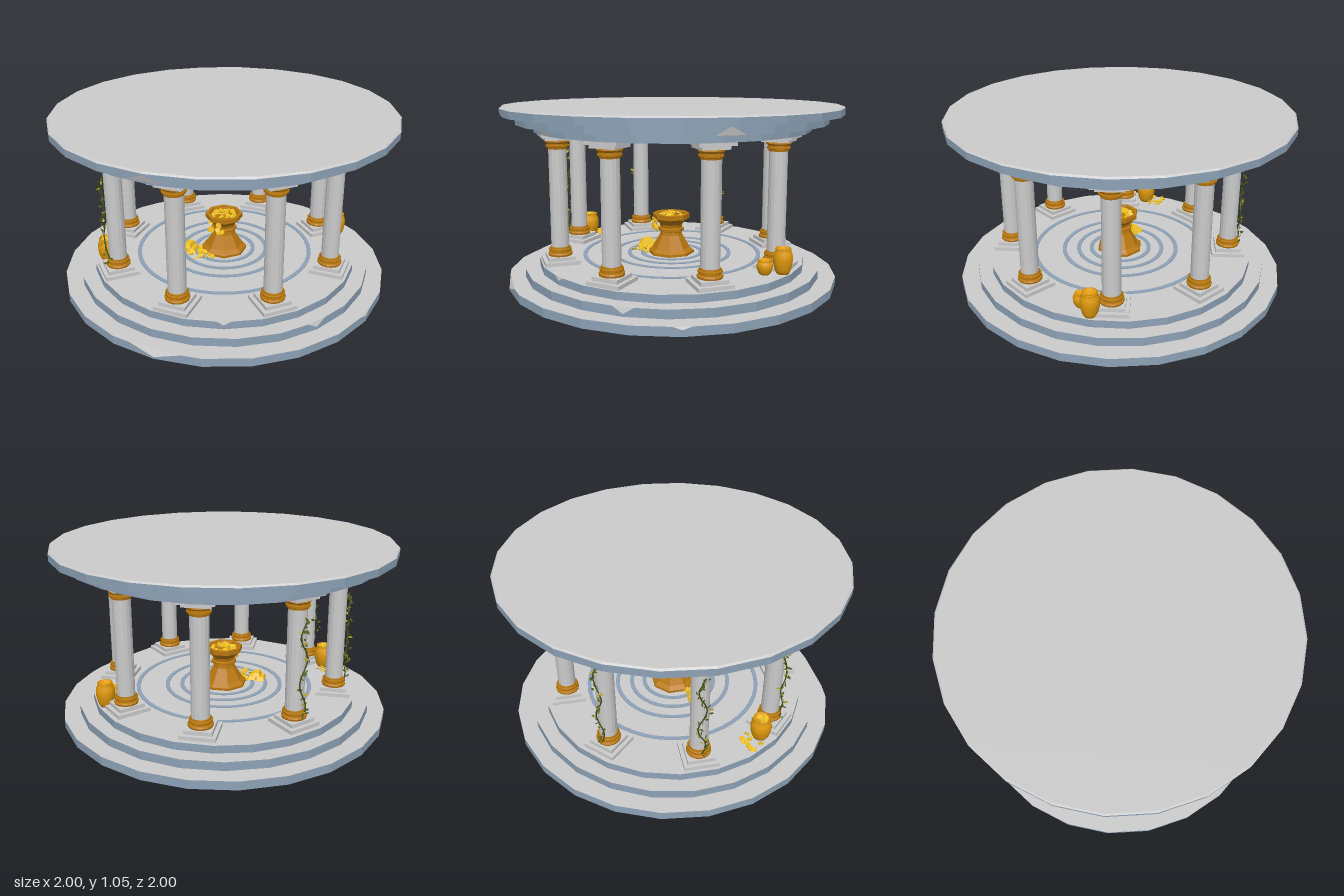
import * as THREE from 'three';
import { mergeGeometries } from 'three/addons/utils/BufferGeometryUtils.js';
import { ConvexGeometry } from 'three/addons/geometries/ConvexGeometry.js';

const mat = (color, flatShading = true, side = THREE.FrontSide) =>
  new THREE.MeshStandardMaterial({ color, flatShading, side });
const STONE = mat(0xcccccc), SLATE = mat(0x8da2b6), GOLD = mat(0xb9780f), POT = mat(0xe09a0c, false, THREE.DoubleSide);
const COIN = mat(0xf0c020), STEM = mat(0x3c4a1c), LEAF = mat(0x55661c, true, THREE.DoubleSide), BUD = mat(0xb8a820, true, THREE.DoubleSide);
const FLOOR = 0.145, SIDES = 24;

let seed = 7;
const rand = (a, b) => {
  seed = (seed * 16807) % 2147483647;
  return a + (b - a) * seed / 2147483647;
};

function add(parent, name, geometry, material, x = 0, y = 0, z = 0) {
  const mesh = new THREE.Mesh(geometry, material);
  mesh.name = name;
  mesh.position.set(x, y, z);
  parent.add(mesh);
  return mesh;
}

const lathe = (profile, sides) => new THREE.LatheGeometry(profile.map(p => new THREE.Vector2(...p)), sides);

// Round stone step: slate sides, pale faces, with optional broken corners.
// chips: { index, width, depth, up } where up breaks the upper edge.
function tier(parent, name, r, y0, y1, { bevel = 0, turn = 0, chips = [], slateBelow = false } = {}) {
  const corner = (i, y, rad = r) => {
    const a = i * 2 * Math.PI / SIDES + turn;
    return new THREE.Vector3(Math.sin(a) * rad, y, Math.cos(a) * rad);
  };
  const pts = [];
  for (let i = 0; i < SIDES; i++) {
    for (const up of [false, true]) {
      const y = up ? y1 - bevel : y0, chip = chips.find(c => c.index === i && c.up === up);
      if (!chip) { pts.push(corner(i, y)); continue; }
      const t = chip.width / (r * 2 * Math.sin(Math.PI / SIDES));
      pts.push(corner(i, y).lerp(corner(i + 1, y), t), corner(i, y).lerp(corner(i - 1, y), t));
      pts.push(corner(i, up ? y - chip.depth : y + chip.depth));
    }
    if (bevel) pts.push(corner(i, y1, r - bevel));
  }
  // sort the hull's faces into slate sides and pale faces
  const hull = new ConvexGeometry(pts), p = hull.attributes.position, n = hull.attributes.normal;
  const sides = [], faces = [];
  for (let i = 0; i < p.count; i += 3) {
    const ny = n.getY(i), pale = ny > 0.2 || (ny < -0.2 && !slateBelow);
    for (let k = i; k < i + 3; k++) (pale ? faces : sides).push(p.getX(k), p.getY(k), p.getZ(k));
  }
  for (const [label, list, material] of [['Sides', sides, SLATE], ['Faces', faces, STONE]]) {
    const g = new THREE.BufferGeometry();
    g.setAttribute('position', new THREE.Float32BufferAttribute(list, 3));
    g.computeVertexNormals();
    add(parent, name + label, g, material);
  }
}

// Column in its own frame: +z faces away from the centre.
function column() {
  const g = new THREE.Group();
  const slab = (name, w, h, y) => add(g, name, new THREE.BoxGeometry(w, h, w), STONE, 0, y + h / 2, 0);
  slab('plinth', 0.2, 0.022, FLOOR);
  slab('plinthStep', 0.155, 0.022, FLOOR + 0.022);
  slab('capitalStep', 0.155, 0.022, 0.863);
  slab('capital', 0.2, 0.022, 0.883);
  add(g, 'shaft', new THREE.CylinderGeometry(0.052, 0.052, 0.68, 16), STONE, 0, 0.525, 0);
  const collar = [[0.05, 0], [0.068, 0], [0.071, 0.012], [0.066, 0.02], [0.06, 0.022], [0.06, 0.03],
    [0.066, 0.032], [0.066, 0.042], [0.058, 0.045], [0.056, 0.055], [0.05, 0.055]];
  add(g, 'lowerCollar', lathe(collar, 16), GOLD, 0, 0.187, 0);
  add(g, 'upperCollar', lathe(collar, 16), GOLD, 0, 0.865, 0).rotation.x = Math.PI;
  return g;
}

function leafGeometry(x, y, z, size) {
  const s = new THREE.Shape();
  s.moveTo(0, 0);
  s.quadraticCurveTo(0.5, 0.4, 0, 1);
  s.quadraticCurveTo(-0.5, 0.4, 0, 0);
  const g = new THREE.ShapeGeometry(s, 3);
  g.scale(size, size, size);
  g.rotateX(rand(-0.8, 0.8));
  g.rotateZ(rand(0, 6.28));
  g.rotateY(rand(-1.3, 1.3));
  return g.translate(x, y, z);
}

// Vine climbing the outer side of a column
function vine(parent, y0, y1) {
  const pts = [];
  for (let i = 0; i <= 12; i++) {
    const a = Math.sin(i * 1.1) * 0.4;
    pts.push(new THREE.Vector3(Math.sin(a) * 0.06, y0 + (y1 - y0) * i / 12, Math.cos(a) * 0.06 + rand(0, 0.012)));
  }
  const path = new THREE.CatmullRomCurve3(pts);
  add(parent, 'vineStem', new THREE.TubeGeometry(path, 40, 0.004, 5), STEM);
  const leaves = [[], []];
  for (let i = 0; i < 46; i++) {
    const p = path.getPoint(i / 45);
    leaves[i % 4 === 3 ? 1 : 0].push(leafGeometry(p.x + rand(-0.012, 0.012), p.y, p.z + rand(0, 0.012), rand(0.02, 0.034)));
  }
  add(parent, 'vineLeaves', mergeGeometries(leaves[0]), LEAF);
  add(parent, 'vineBuds', mergeGeometries(leaves[1]), BUD);
}

// Loose coins scattered in a disc, heaped towards the middle
function coins(parent, name, count, x, y, z, radius, heap) {
  const list = [];
  for (let i = 0; i < count; i++) {
    const a = rand(0, 6.28), d = Math.sqrt(rand(0, 1));
    const g = new THREE.CylinderGeometry(0.016, 0.016, 0.006, 8);
    g.rotateX(rand(-0.6, 0.6));
    g.rotateZ(rand(-0.6, 0.6));
    list.push(g.translate(Math.cos(a) * d * radius, 0.007 + heap * (1 - d), Math.sin(a) * d * radius));
  }
  add(parent, name, mergeGeometries(list), COIN, x, y, z);
}

function pot(parent, x, z, r, h) {
  const profile = [[0, 0], [0.62, 0], [0.8, 0.14], [0.96, 0.4], [1, 0.62], [0.92, 0.8], [0.76, 0.92],
    [0.82, 0.97], [0.8, 1], [0.68, 1], [0.66, 0.9], [0, 0.86]];
  add(parent, 'pot', lathe(profile.map(([a, b]) => [a * r, b * h]), 16), POT, x, FLOOR, z);
}

export function createModel() {
  const model = new THREE.Group();
  model.name = 'roundPavilion';

  // stepped base
  tier(model, 'baseLower', 0.985, 0, 0.05, { slateBelow: true, chips: [
    { index: 0, width: 0.15, depth: 0.04, up: true }, { index: 5, width: 0.05, depth: 0.015, up: true }] });
  tier(model, 'baseMiddle', 0.885, 0.05, 0.1, { turn: -0.07, chips: [{ index: 4, width: 0.06, depth: 0.035, up: true }] });
  tier(model, 'baseUpper', 0.8, 0.1, FLOOR, { turn: 0.115, chips: [{ index: 1, width: 0.04, depth: 0.022, up: true }] });

  // concentric floor bands
  for (const r of [0.18, 0.26, 0.35, 0.53]) {
    add(model, 'floorBand', lathe([[r - 0.012, 0], [r - 0.012, 0.004], [r + 0.012, 0.004], [r + 0.012, 0]].reverse()
      .sort((a, b) => b[0] - a[0] || (b[0] > r ? a[1] - b[1] : b[1] - a[1])), 48), SLATE, 0, FLOOR, 0);
  }

  // stepped roof
  tier(model, 'roofLower', 0.815, 0.905, 0.95, { chips: [{ index: 1, width: 0.08, depth: 0.03, up: false }] });
  tier(model, 'roofMiddle', 0.915, 0.95, 1, { chips: [{ index: 6, width: 0.08, depth: 0.045, up: false }] });
  tier(model, 'roofUpper', 1, 1, 1.05, { bevel: 0.009, chips: [{ index: 0, width: 0.1, depth: 0.033, up: false }] });

  // ring of eight columns, three of them overgrown
  const vines = { 5: [0.2, 0.76], 6: [0.22, 0.76], 7: [0.2, 0.76] };
  for (let i = 0; i < 8; i++) {
    const pivot = new THREE.Group(), col = column();
    pivot.name = 'columnPivot';
    col.name = 'column';
    pivot.rotation.y = i * Math.PI / 4;
    pivot.position.z = 0.01;
    col.position.z = 0.675;
    if (vines[i]) vine(col, ...vines[i]);
    pivot.add(col);
    model.add(pivot);
  }

  // eight-sided central treasure bowl
  const bowl = [[0, 0], [0.14, 0], [0.14, 0.015], [0.115, 0.035], [0.068, 0.115], [0.064, 0.135], [0.078, 0.14],
    [0.078, 0.155], [0.066, 0.16], [0.07, 0.18], [0.105, 0.215], [0.113, 0.218], [0.113, 0.245], [0.092, 0.245], [0.085, 0.225], [0, 0.22]];
  add(model, 'treasureBowl', lathe(bowl, 8), GOLD, 0, FLOOR, 0.005).rotation.y = Math.PI / 8;
  coins(model, 'bowlCoins', 34, 0, 0.368, 0.005, 0.075, 0.022);
  coins(model, 'spilledCoins', 22, -0.11, FLOOR, 0.14, 0.09, 0.012);
  for (let i = 0; i < 9; i++) { // coins slipping down the front of the bowl
    const c = add(model, 'fallingCoin', new THREE.CylinderGeometry(0.016, 0.016, 0.006, 8), COIN,
      rand(-0.07, 0.07), rand(0.26, 0.36), rand(0.085, 0.115));
    c.rotation.set(rand(0.6, 1.5), 0, rand(-0.5, 0.5));
  }

  // stack of ingots
  for (const [x, y] of [[-0.222, 0], [-0.168, 0], [-0.195, 0.024]]) {
    const g = new THREE.CylinderGeometry(0.024, 0.036, 0.024, 4).rotateY(Math.PI / 4).scale(1, 1, 1.8);
    add(model, 'ingot', g, COIN, x, FLOOR + 0.012 + y, 0.1);
  }

  // pots
  pot(model, -0.6, 0.395, 0.062, 0.145);
  pot(model, 0.61, -0.445, 0.055, 0.145);
  pot(model, 0.59, -0.345, 0.045, 0.08);
  coins(model, 'potCoins', 10, -0.6, 0.272, 0.395, 0.032, 0.012);
  coins(model, 'potSpill', 10, -0.63, FLOOR, 0.36, 0.08, 0.004);
  return model;
}
